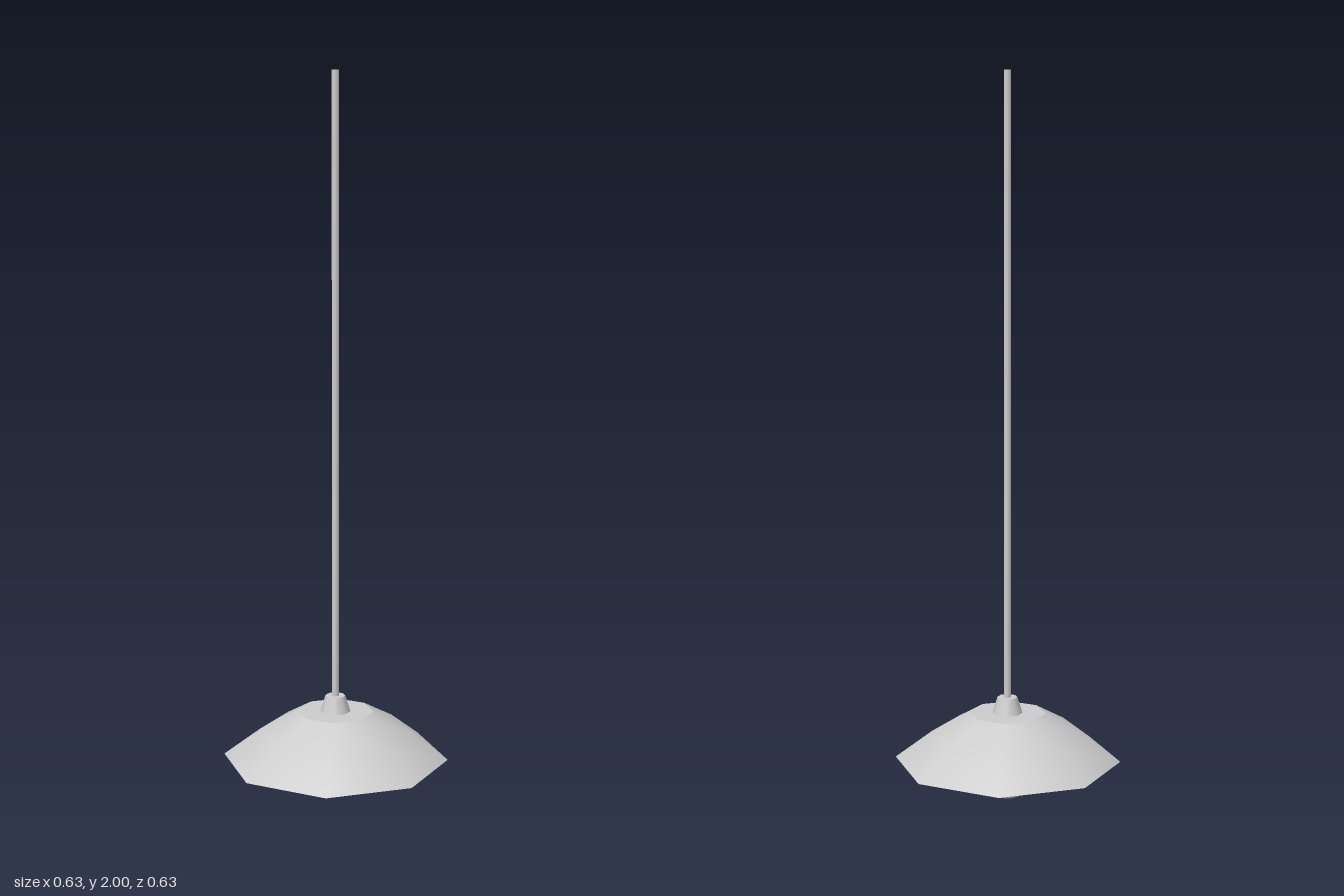
import * as THREE from 'three';

const material = new THREE.MeshStandardMaterial({ color: 0xcccccc });

// Revolve a list of [radius, height] points, listed from bottom to top on the outside
function lathe(name, points, sides) {
  const profile = points.map(([r, y]) => new THREE.Vector2(r, y));
  const mesh = new THREE.Mesh(new THREE.LatheGeometry(profile, sides), material);
  mesh.name = name;
  return mesh;
}

function cylinder(name, rTop, rBottom, y0, y1, sides) {
  const mesh = new THREE.Mesh(new THREE.CylinderGeometry(rTop, rBottom, y1 - y0, sides), material);
  mesh.position.y = (y0 + y1) / 2;
  mesh.name = name;
  return mesh;
}

export function createModel() {
  const lamp = new THREE.Group();
  lamp.name = 'pendantLamp';

  // Thick eight-sided shade: sloped outside, flat top, rim and hollow inside
  const shade = new THREE.Group();
  shade.name = 'shade';
  shade.add(
    lathe('shadeOuter', [[0.315, 0.11], [0.212, 0.187], [0.107, 0.245]], 8),
    lathe('shadeTop', [[0.107, 0.245], [0, 0.245]], 8),
    lathe('shadeRim', [[0.283, 0.11], [0.315, 0.11]], 8),
    lathe('shadeInner', [[0.155, 0.2], [0.283, 0.11]], 8),
    lathe('shadeCeiling', [[0, 0.2], [0.155, 0.2]], 8),
  );
  lamp.add(shade);

  // Socket cap and hanging rod
  lamp.add(cylinder('socketCap', 0.028, 0.042, 0.245, 0.29, 8));
  lamp.add(cylinder('rod', 0.01, 0.01, 0.29, 2, 12));

  // Pear-shaped bulb: a round globe narrowing to a neck inside the shade
  const bulb = [];
  for (let i = 0; i <= 12; i++) {
    const a = -Math.PI / 2 + (i / 12) * Math.PI * 0.64;
    bulb.push([Math.max(0, 0.079 * Math.cos(a)), 0.083 + 0.079 * Math.sin(a) - 0.004]);
  }
  bulb.push([0.056, 0.148], [0.042, 0.178], [0.032, 0.202]);
  lamp.add(lathe('bulb', bulb, 24));

  return lamp;
}
